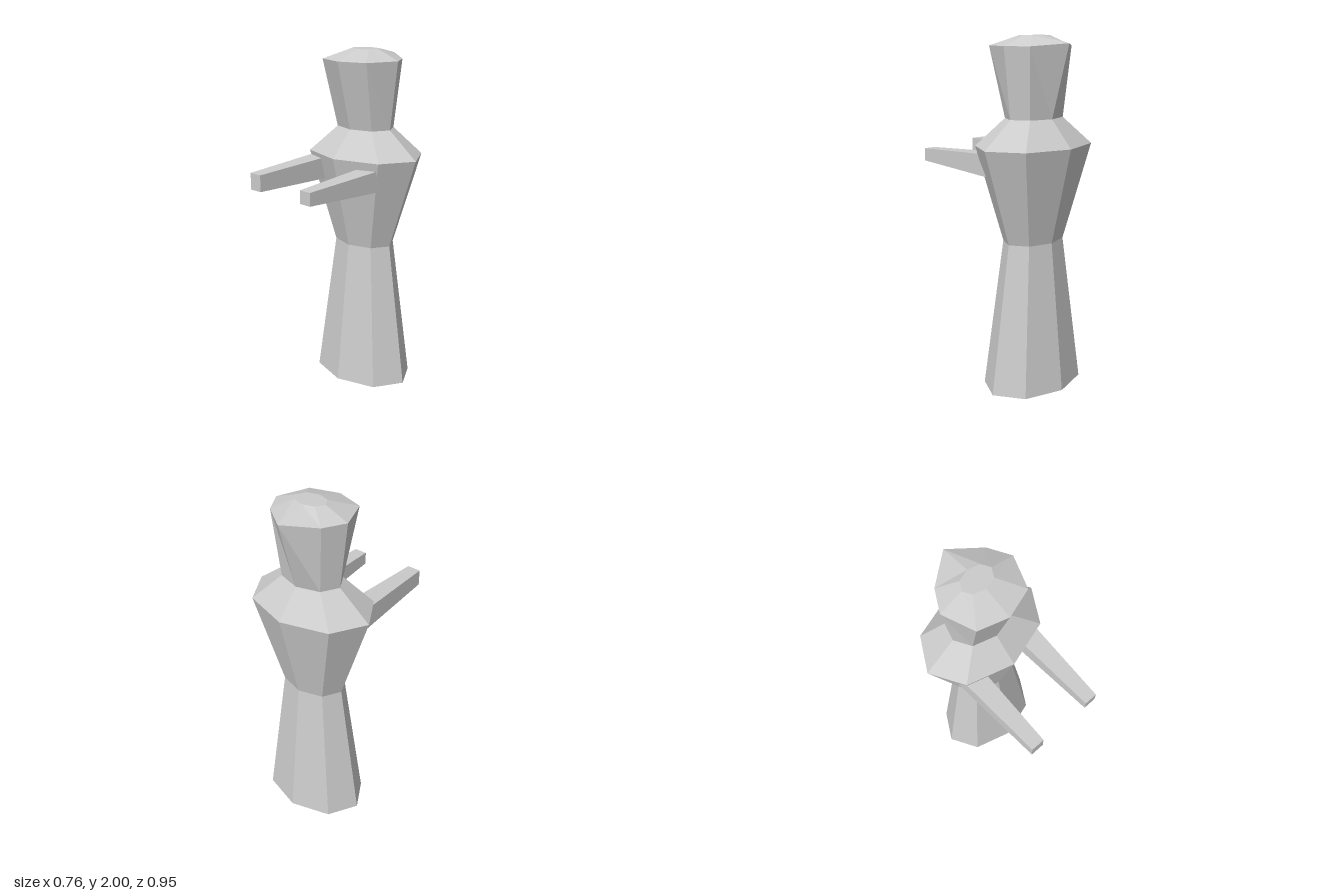
import * as THREE from 'three';

const material = new THREE.MeshStandardMaterial({ color: 0xcccccc, flatShading: true });
const CENTRE_Z = -0.2025;
const DEPTH = 0.72; // depth of each octagonal ring relative to its width

// Eight-sided lofted shape from [radius, height] pairs, flattened front to back
function octagonalLoft(profile) {
  const points = profile.map(([r, y]) => new THREE.Vector2(r, y));
  const geometry = new THREE.LatheGeometry(points, 8);
  geometry.scale(1, 1, DEPTH);
  return geometry;
}

function addMesh(group, name, geometry) {
  const mesh = new THREE.Mesh(geometry, material);
  mesh.name = name;
  group.add(mesh);
  return mesh;
}

// Square bar between two rectangles {x0, x1, y0, y1, z}
function taperedBar(back, front) {
  const geometry = new THREE.BoxGeometry(1, 1, 1);
  const p = geometry.attributes.position;
  for (let i = 0; i < p.count; i++) {
    const end = p.getZ(i) > 0 ? front : back;
    p.setXYZ(i, p.getX(i) > 0 ? end.x1 : end.x0, p.getY(i) > 0 ? end.y1 : end.y0, end.z);
  }
  return geometry;
}

export function createModel() {
  const group = new THREE.Group();
  group.name = 'figure';

  // Skirt, torso and shoulders
  const body = octagonalLoft([[0, 0], [0.327, 0], [0.198, 0.86], [0.378, 1.405], [0.187, 1.555]]);
  addMesh(group, 'body', body).position.z = CENTRE_Z;

  // Flared head with a low cap; its brim is rounder and peaks at the back
  const brimY = 1.945;
  const head = octagonalLoft([[0.187, 1.555], [0.235, brimY], [0.095, 2], [0, 2]]);
  const brimZ = [0.235, 0.183, 0, -0.122, -0.248]; // front to back
  const p = head.attributes.position;
  for (let i = 0; i < p.count; i++) {
    if (Math.abs(p.getY(i) - brimY) > 0.001) continue;
    const angle = Math.atan2(Math.abs(p.getX(i)), p.getZ(i) / DEPTH);
    const step = Math.round(angle / (Math.PI / 4));
    p.setZ(i, brimZ[step]);
    if (step === 4) p.setY(i, 1.96);
  }
  addMesh(group, 'head', head).position.z = CENTRE_Z;

  // Arms reaching forward, the right one slightly higher
  addMesh(group, 'rightArm', taperedBar(
    { x0: -0.268, x1: -0.138, y0: 1.25, y1: 1.385, z: -0.14 },
    { x0: -0.24, x1: -0.16, y0: 1.263, y1: 1.358, z: 0.475 }));
  addMesh(group, 'leftArm', taperedBar(
    { x0: 0.123, x1: 0.253, y0: 1.232, y1: 1.364, z: -0.14 },
    { x0: 0.152, x1: 0.227, y0: 1.26, y1: 1.334, z: 0.475 }));

  return group;
}
